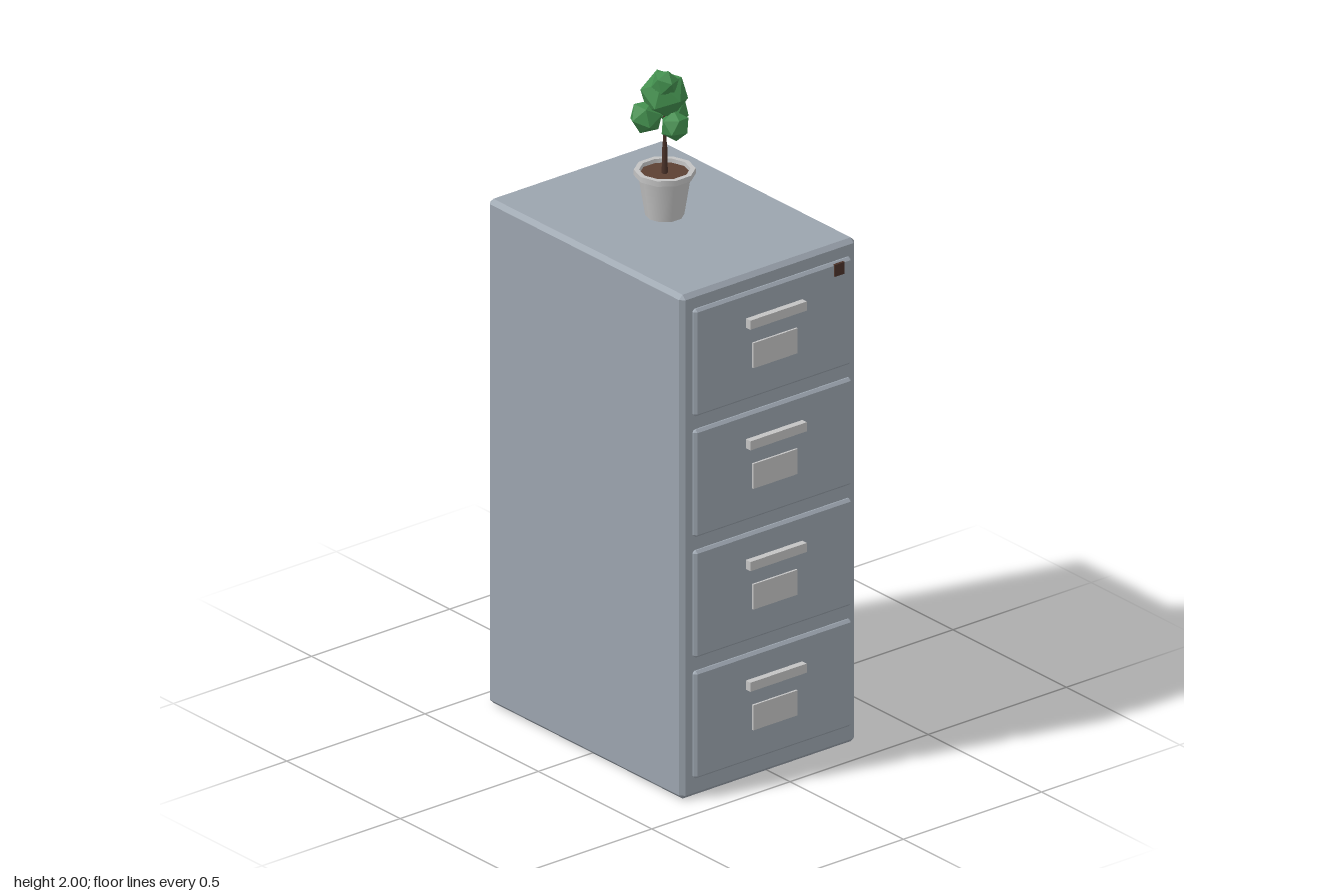
import * as THREE from 'three';
import { ConvexGeometry } from 'three/addons/geometries/ConvexGeometry.js';

const flat = (name, color, extra = {}) =>
  Object.assign(new THREE.MeshStandardMaterial({ color, ...extra }), { name });

// Box with every edge cut by a flat chamfer
function chamferBox(w, h, d, c) {
  const points = [];
  for (const sx of [-1, 1]) for (const sy of [-1, 1]) for (const sz of [-1, 1]) {
    const x = w / 2, y = h / 2, z = d / 2;
    points.push(
      new THREE.Vector3(sx * x, sy * (y - c), sz * (z - c)),
      new THREE.Vector3(sx * (x - c), sy * y, sz * (z - c)),
      new THREE.Vector3(sx * (x - c), sy * (y - c), sz * z));
  }
  return new ConvexGeometry(points);
}

export function createModel() {
  const steel = flat('cabinet grey', 0x9ba4ae);
  const metal = flat('light grey', 0xc3c3c3);
  const brown = flat('dark brown', 0x4a3229);
  const soilMat = flat('soil brown', 0x5c4033);
  const green = flat('leaf green', 0x418c4c, { flatShading: true });

  const model = new THREE.Group();
  const add = (parent, name, geometry, material, x, y, z) => {
    const mesh = new THREE.Mesh(geometry, material);
    mesh.name = name;
    mesh.position.set(x, y, z);
    parent.add(mesh);
    return mesh;
  };

  // Cabinet shell
  add(model, 'cabinetBody', chamferBox(0.634, 1.55, 0.86, 0.013), steel, 0, 0.775, -0.02);

  // Four drawers, each with a handle and a label holder
  const front = chamferBox(0.57, 0.33, 0.02, 0.008);
  const handle = new THREE.BoxGeometry(0.204, 0.028, 0.022);
  const label = new THREE.BoxGeometry(0.16, 0.077, 0.008);
  for (let i = 0; i < 4; i++) {
    const drawer = new THREE.Group();
    drawer.name = 'drawer' + (i + 1);
    drawer.position.set(0, 0.228 + i * 0.3713, 0.42);
    add(drawer, 'drawerFront', front, steel, 0, 0, 0);
    add(drawer, 'handle', handle, metal, 0, 0.074, 0.019);
    add(drawer, 'labelHolder', label, metal, 0, -0.031, 0.0125);
    model.add(drawer);
  }
  add(model, 'lock', new THREE.BoxGeometry(0.035, 0.036, 0.008), brown, 0.234, 1.485, 0.431);

  // Potted plant
  const plant = new THREE.Group();
  plant.name = 'pottedPlant';
  plant.position.set(0, 1.55, -0.052);
  model.add(plant);

  const sides = 10;
  const turn = Math.PI / sides;
  add(plant, 'pot', new THREE.CylinderGeometry(0.075, 0.055, 0.125, sides, 1, true, turn), metal, 0, 0.0625, 0);
  add(plant, 'potBase', new THREE.CircleGeometry(0.055, sides).rotateX(Math.PI / 2), metal, 0, 0.001, 0);

  // Rim: square ring with a hollow centre
  const ring = [[0.07, 0.115], [0.075, 0.123], [0.087, 0.123], [0.087, 0.123], [0.087, 0.14],
    [0.087, 0.14], [0.072, 0.14], [0.072, 0.14], [0.07, 0.115]];
  add(plant, 'potRim', new THREE.LatheGeometry(
    ring.map(([r, y]) => new THREE.Vector2(r, y)), sides, turn), metal, 0, 0, 0);
  add(plant, 'soil', new THREE.CylinderGeometry(0.073, 0.07, 0.01, sides, 1, false, turn), soilMat, 0, 0.123, 0);

  // Trunk, thicker in its lower half
  add(plant, 'lowerTrunk', new THREE.CylinderGeometry(0.007, 0.009, 0.085, 6), brown, 0, 0.168, 0);
  add(plant, 'upperTrunk', new THREE.CylinderGeometry(0.004, 0.006, 0.11, 6), brown, 0, 0.26, 0);

  // Leaf clumps: x, y, z, radius
  [
    [0.003, 0.368, -0.006, 0.071],
    [-0.013, 0.413, 0.017, 0.04],
    [-0.046, 0.305, -0.026, 0.05],
    [0.045, 0.305, -0.02, 0.049],
    [0.002, 0.287, 0.043, 0.044],
  ].forEach(([x, y, z, r], i) => {
    const clump = add(plant, 'leafClump' + (i + 1), new THREE.IcosahedronGeometry(r, 0), green, x, y, z);
    clump.rotation.set(0.55 + i * 0.2, i * 1.3, 0);
  });

  return model;
}
